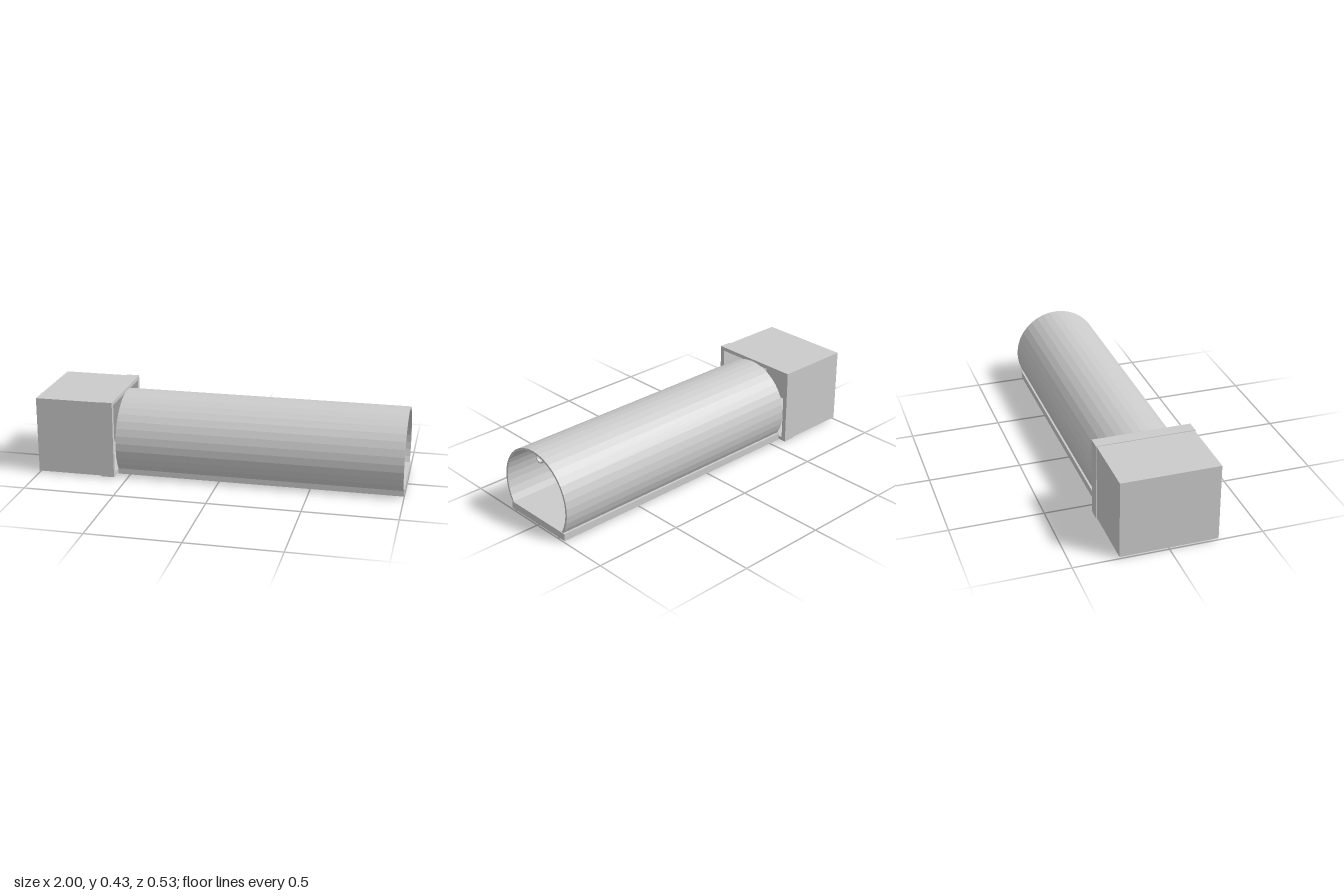
import * as THREE from 'three';

const material = new THREE.MeshStandardMaterial({ color: 0xcccccc, side: THREE.DoubleSide });

// Sweeps a cross-section (drawn in -z, y) along x from x0 to x1
function sweep(name, shape, x0, x1) {
  const geometry = new THREE.ExtrudeGeometry(shape, { depth: x1 - x0, bevelEnabled: false });
  geometry.rotateY(Math.PI / 2);
  geometry.translate(x0, 0, 0);
  const mesh = new THREE.Mesh(geometry, material);
  mesh.name = name;
  return mesh;
}

function polygon(points) {
  return new THREE.Shape(points.map(([x, y]) => new THREE.Vector2(x, y)));
}

function rectangle(halfWidth, y0, y1, offset = 0) {
  return polygon([
    [offset - halfWidth, y0], [offset + halfWidth, y0],
    [offset + halfWidth, y1], [offset - halfWidth, y1],
  ]);
}

function frame(outer, inner) {
  outer.holes.push(inner);
  return outer;
}

export function createModel() {
  const model = new THREE.Group();
  model.name = 'tunnelTrap';

  // End box: closed at the back, open towards the tunnel, with a thicker lip
  const box = new THREE.Group();
  box.name = 'endBox';
  const cavity = () => rectangle(0.238, 0.027, 0.412);
  box.add(
    sweep('boxBack', rectangle(0.26, 0.01, 0.43), -1, -0.94),
    sweep('boxWalls', frame(rectangle(0.26, 0.01, 0.43), cavity()), -0.94, -0.64),
    sweep('boxLip', frame(rectangle(0.264, 0.007, 0.433), cavity()), -0.64, -0.57),
  );
  model.add(box);

  // Arched tunnel wall, an open ring resting on the floor plate
  const centreY = 0.178, segments = 26;
  const start = -0.585, end = Math.PI - start;
  const arc = (radius) => Array.from({ length: segments + 1 }, (_, i) => {
    const a = start + (end - start) * i / segments;
    return [radius * Math.cos(a) - 0.002, centreY + radius * Math.sin(a)];
  });
  model.add(sweep('tunnelWall', polygon([...arc(0.25), ...arc(0.238).reverse()]), -0.56, 0.996));

  // Floor plate with two V-shaped runners underneath
  model.add(sweep('floorPlate', rectangle(0.218, 0.01, 0.05, 0.007), -0.56, 1));
  for (const offset of [-0.18, 0.176]) {
    const runner = polygon([[offset - 0.008, 0.0105], [offset, 0], [offset + 0.008, 0.0105]]);
    model.add(sweep('floorRunner', runner, -0.56, 1));
  }

  // Slightly tilted hollow pipe under the roof, with stepped collars
  const pipe = new THREE.Group();
  pipe.name = 'roofPipe';
  const profile = [
    [0.022, -0.15], [0.028, -0.15], [0.028, -0.1], [0.025, -0.1], [0.025, 0.1],
    [0.028, 0.1], [0.028, 0.15], [0.022, 0.15], [0.022, -0.15],
  ].map(([r, y]) => new THREE.Vector2(r, y));
  const tubeGeometry = new THREE.LatheGeometry(profile, 24).toNonIndexed();
  tubeGeometry.computeVertexNormals();
  tubeGeometry.rotateZ(-Math.PI / 2);
  const tube = new THREE.Mesh(tubeGeometry, material);
  tube.name = 'pipeBody';
  pipe.add(tube);
  pipe.position.set(0.81, 0.366, 0.004);
  pipe.rotation.z = 0.05;
  model.add(pipe);

  // Flared hanger fixing the pipe to the roof
  const hanger = polygon([
    [-0.023, 0.384], [-0.018, 0.395], [-0.018, 0.418], [0.012, 0.418], [0.012, 0.395], [0.017, 0.384],
    [0.01, 0.392], [-0.004, 0.396], [-0.016, 0.392],
  ]);
  model.add(sweep('pipeHanger', hanger, 0.72, 0.9));

  return model;
}
